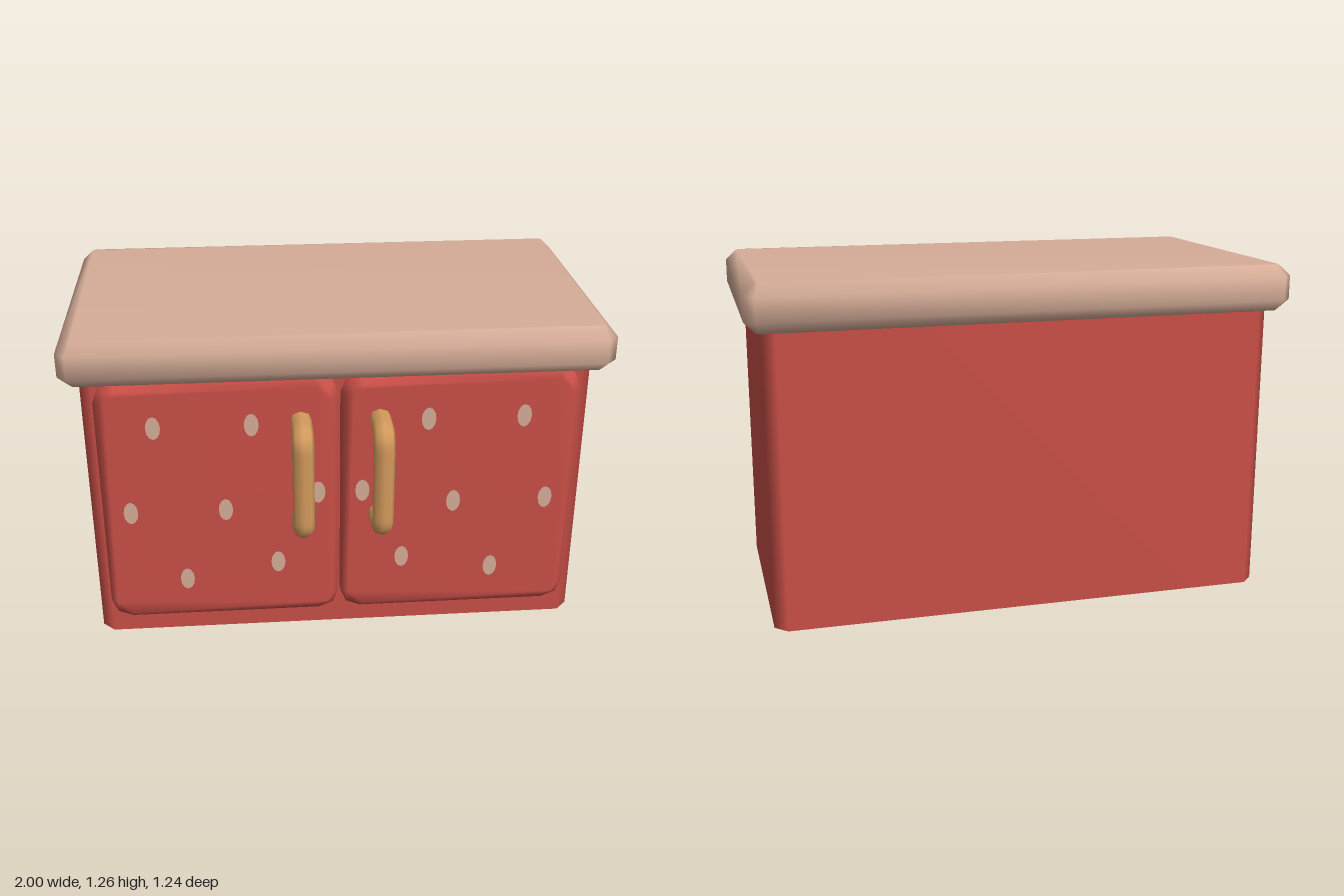
import * as THREE from 'three';
import { mergeVertices } from 'three/addons/utils/BufferGeometryUtils.js';

const red = new THREE.MeshStandardMaterial({ color: 0xc94f47 });
red.name = 'red paint';
const pale = new THREE.MeshStandardMaterial({ color: 0xd6ad98 });
pale.name = 'pale beige';
const tan = new THREE.MeshStandardMaterial({ color: 0xd49a5c });
tan.name = 'tan wood';

// Rectangle outline with cut corners, n segments per corner
function outline(w, h, r, n) {
  const pts = [];
  for (let c = 0; c < 4; c++) {
    const sx = c === 0 || c === 3 ? 1 : -1;
    const sy = c < 2 ? 1 : -1;
    for (let i = 0; i <= n; i++) {
      const a = (c + i / n) * Math.PI / 2;
      pts.push(new THREE.Vector2(sx * (w / 2 - r) + r * Math.cos(a), sy * (h / 2 - r) + r * Math.sin(a)));
    }
  }
  return pts;
}

// Chamfered block with soft, area-weighted normals
function block(w, h, d, corner, n, bevel) {
  const shape = new THREE.Shape(outline(w - 2 * bevel, h - 2 * bevel, corner, n));
  const geo = new THREE.ExtrudeGeometry(shape, {
    depth: d - 2 * bevel, bevelEnabled: true, bevelSegments: 1, bevelSize: bevel, bevelThickness: bevel,
  });
  geo.deleteAttribute('uv');
  geo.deleteAttribute('normal');
  const merged = mergeVertices(geo, 1e-4);
  merged.clearGroups();
  merged.computeVertexNormals();
  merged.center();
  return merged;
}

// Wall strip between two outlines at two heights
function wall(a, ya, b, yb) {
  const n = a.length, pos = [], idx = [];
  for (const p of a) pos.push(p.x, ya, p.y);
  for (const p of b) pos.push(p.x, yb, p.y);
  for (let j = 0; j < n; j++) {
    const k = (j + 1) % n;
    idx.push(j, k, n + j, k, n + k, n + j);
  }
  const geo = new THREE.BufferGeometry();
  geo.setAttribute('position', new THREE.Float32BufferAttribute(pos, 3));
  geo.setIndex(idx);
  geo.computeVertexNormals();
  return geo;
}

function add(parent, name, geo, mat, x = 0, y = 0, z = 0) {
  const mesh = new THREE.Mesh(geo, mat);
  mesh.name = name;
  mesh.position.set(x, y, z);
  parent.add(mesh);
  return mesh;
}

export function createModel() {
  const model = new THREE.Group();
  model.name = 'cabinet';

  // Cabinet body, hollow underneath with a raised floor
  const body = new THREE.Group();
  body.name = 'body';
  body.position.z = -0.0875;
  model.add(body);
  const outer = outline(1.88, 0.945, 0.045, 1);
  const inner = outline(1.7, 0.88, 0.03, 1);
  add(body, 'outerWalls', wall(outer, 1.1, outer, 0), red);
  add(body, 'innerWalls', wall(outer, 0, inner, 0.15), red);
  add(body, 'floor', new THREE.ShapeGeometry(new THREE.Shape(inner)).rotateX(Math.PI / 2), red, 0, 0.15, 0);

  // Worktop
  add(model, 'worktop', block(2, 1.1, 0.172, 0.012, 1, 0.042).rotateX(Math.PI / 2), pale, 0, 1.174, -0.072);

  // Shared door parts
  const doorGeo = block(0.885, 1, 0.12, 0.055, 2, 0.028);
  const spotGeo = new THREE.CircleGeometry(1, 12).scale(0.027, 0.046, 1);
  const spots = [[0.325, 0.92], [0.68, 0.92], [0.083, 0.63], [0.43, 0.57], [0.783, 0.57], [0.238, 0.33], [0.588, 0.27]];

  // Handle path in the y-z plane
  const v = (y, z) => new THREE.Vector3(0, y, z);
  const path = new THREE.CurvePath();
  path.add(new THREE.LineCurve3(v(0.535, 0.43), v(0.535, 0.535)));
  path.add(new THREE.QuadraticBezierCurve3(v(0.535, 0.535), v(0.535, 0.588), v(0.59, 0.588)));
  path.add(new THREE.LineCurve3(v(0.59, 0.588), v(0.878, 0.588)));
  path.add(new THREE.QuadraticBezierCurve3(v(0.878, 0.588), v(0.933, 0.588), v(0.933, 0.535)));
  path.add(new THREE.LineCurve3(v(0.933, 0.535), v(0.933, 0.43)));
  const handleGeo = new THREE.TubeGeometry(path, 40, 0.033, 8, false).scale(1.2, 1, 1);

  // Mirrored doors with spots and handles
  for (const [side, s] of [['left', 1], ['right', -1]]) {
    const door = new THREE.Group();
    door.name = side + 'Door';
    model.add(door);
    add(door, side + 'DoorPanel', doorGeo, red, s * 0.4465, 0.59, 0.386);
    spots.forEach(([x, y]) => add(door, side + 'DoorSpot', spotGeo, pale, s * x, y, 0.449));
    add(door, side + 'Handle', handleGeo, tan, s * 0.145, 0, 0);
  }
  return model;
}
